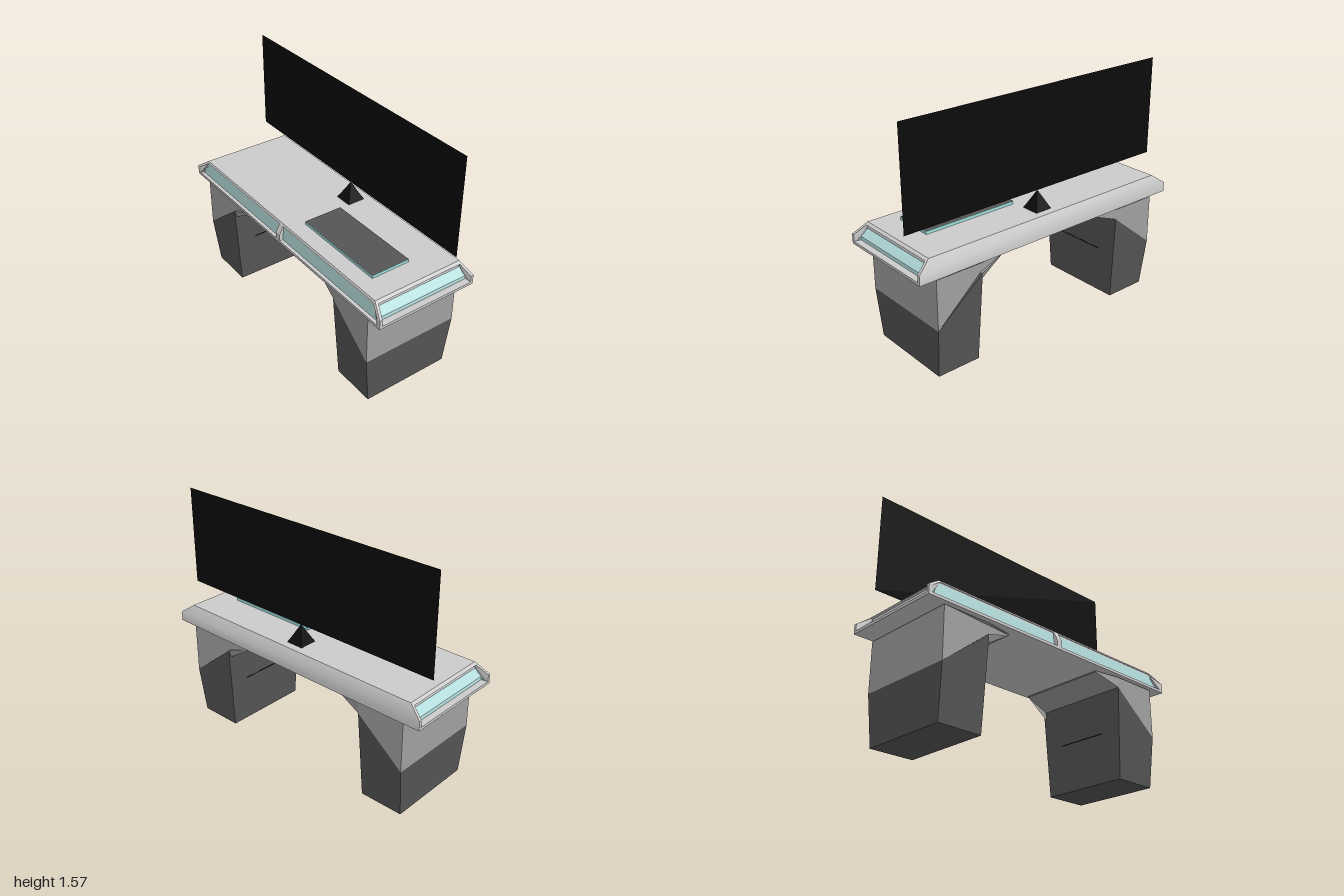
import * as THREE from 'three';
import { toCreasedNormals } from 'three/addons/utils/BufferGeometryUtils.js';

const mat = (color) => new THREE.MeshStandardMaterial({ color, side: THREE.DoubleSide });
const MATS = {
  body: mat(0xcccccc), glass: mat(0xb4dcdc), upper: mat(0xa0a0a0), lower: mat(0x555555),
  black: mat(0x0c0c0c), teal: mat(0x9fe0e0), pad: mat(0x555555),
};

// Mesh from a list of polygons (corners counter-clockwise seen from outside)
function polyMesh(name, polys, material, crease = 0.1) {
  const pos = [];
  for (const p of polys)
    for (let i = 1; i < p.length - 1; i++) pos.push(...p[0], ...p[i], ...p[i + 1]);
  let geo = new THREE.BufferGeometry();
  geo.setAttribute('position', new THREE.Float32BufferAttribute(pos, 3));
  geo = toCreasedNormals(geo, crease);
  const mesh = new THREE.Mesh(geo, material);
  mesh.name = name;
  return mesh;
}

// Solid from a counter-clockwise xy profile; depth(point) gives its half width in z
function prism(name, pts, material) {
  const front = pts.map(([x, y, d]) => [x, y, d]);
  const back = pts.map(([x, y, d]) => [x, y, -d]);
  const sides = pts.map((_, i) => {
    const j = (i + 1) % pts.length;
    return [front[i], back[i], back[j], front[j]];
  });
  return polyMesh(name, [front, [...back].reverse(), ...sides], material);
}

// Desk outline: bottom, bend and top, as half sizes in x and z
const Y0 = 0.672, Y1 = 0.735, Y2 = 0.8, SILL = 0.69, HEAD = 0.787;
const taper = (y) => Math.max(0, (y - Y1) / (Y2 - Y1));
const halfX = (y) => 1 - 0.09 * taper(y);
const halfZ = (y) => 0.345 - 0.035 * taper(y);

// One desk wall in local (along, y, out) space, with framed, glazed recesses.
// inner: [y, out] points of the recessed back; glassCount: segments that are glass
function deskWall(name, half, out, place, openings, inner, glassCount) {
  const group = new THREE.Group();
  group.name = name;
  const frame = [], glass = [];
  const quad = (list, a, b, c, d) => list.push([a, b, c, d].map((p) => place(...p)));
  const band = (ya, yb, l, r) => quad(frame, [l(ya), ya, out(ya)], [r(ya), ya, out(ya)],
    [r(yb), yb, out(yb)], [l(yb), yb, out(yb)]);
  const L = (y) => -half(y), R = half;
  const levels = [SILL, Y1, HEAD];
  band(Y0, SILL, L, R);
  band(HEAD, Y2, L, R);

  // posts between the openings
  const edges = [L, ...openings.flat(), R];
  for (let i = 0; i < edges.length; i += 2)
    for (let k = 0; k < 2; k++) band(levels[k], levels[k + 1], edges[i], edges[i + 1]);

  // recesses: cheeks, floor, roof and back
  for (const [l, r] of openings) {
    for (const e of [l, r]) {
      const rim = levels.map((y) => [e(y), y, out(y)]);
      const deep = inner.map(([y, o]) => [e(y), y, o]);
      const cheek = [...rim, ...deep.reverse()];
      // fan from the deep top corner, which sees the whole outline
      const turned = [...cheek.slice(3), ...cheek.slice(0, 3)];
      if (e === r) turned.splice(1, turned.length - 1, ...turned.slice(1).reverse());
      frame.push(turned.map((p) => place(...p)));
    }
    const low = inner[0][1], high = inner[inner.length - 1][1];
    quad(frame, [l(SILL), SILL, out(SILL)], [r(SILL), SILL, out(SILL)], [r(SILL), SILL, low], [l(SILL), SILL, low]);
    quad(frame, [l(HEAD), HEAD, high], [r(HEAD), HEAD, high], [r(HEAD), HEAD, out(HEAD)], [l(HEAD), HEAD, out(HEAD)]);
    for (let k = 0; k < inner.length - 1; k++) {
      const [ya, oa] = inner[k], [yb, ob] = inner[k + 1];
      quad(k < glassCount ? glass : frame, [l(ya), ya, oa], [r(ya), ya, oa], [r(yb), yb, ob], [l(yb), yb, ob]);
    }
  }
  group.add(polyMesh('frame', frame, MATS.body));
  group.add(polyMesh('glass', glass, MATS.glass));
  return group;
}

function createDesk() {
  const desk = new THREE.Group();
  desk.name = 'deskTop';
  const ring = (y) => [[-1, 1], [1, 1], [1, -1], [-1, -1]].map(([a, b]) => [a * halfX(y), y, b * halfZ(y)]);
  desk.add(polyMesh('topSurface', [ring(Y2)], MATS.body));
  desk.add(polyMesh('underside', [ring(Y0).reverse()], MATS.body));

  // plain rear wall with a softened bend
  const [r0, r1, r2] = [Y0, Y1, Y2].map(ring);
  desk.add(polyMesh('rearWall', [[r0[2], r0[3], r1[3], r1[2]], [r1[2], r1[3], r2[3], r2[2]]], MATS.body, 0.8));

  // front wall with two windows and a central post
  const post = 0.025, mid = 0.02;
  desk.add(deskWall('frontWall', halfX, halfZ, (s, y, o) => [s, y, o],
    [[(y) => post - halfX(y), () => -mid], [() => mid, (y) => halfX(y) - post]],
    [[SILL, 0.322], [0.777, 0.313], [HEAD, 0.311]], 1));

  // end walls with one sloping window each
  for (const side of [1, -1])
    desk.add(deskWall(side > 0 ? 'leftEnd' : 'rightEnd', halfZ, halfX,
      (s, y, o) => [side * o, y, -side * s],
      [[(y) => 0.018 - halfZ(y), (y) => halfZ(y) - 0.018]],
      [[SILL, 0.957], [0.712, 0.955], [0.755, 0.912], [HEAD, 0.908]], 2));
  return desk;
}

// Pedestal leg: dark tapering foot under a lighter bracket, split on a diagonal
function createLeg(name) {
  const leg = new THREE.Group();
  leg.name = name;
  leg.add(prism('foot', [[0.57, 0, 0.295], [0.865, 0, 0.295], [0.88, 0.33, 0.33], [0.555, 0.59, 0.33]], MATS.lower));
  leg.add(prism('bracket', [[0.555, 0.59, 0.33], [0.88, 0.33, 0.33], [0.88, 0.66, 0.33],
    [0.555, 0.66, 0.33], [0.375, 0.66, 0.3], [0.375, 0.652, 0.3]], MATS.upper));
  const slot = new THREE.Mesh(new THREE.BoxGeometry(0.006, 0.006, 0.35), MATS.black);
  slot.name = 'slot';
  slot.position.set(0.563, 0.32, 0);
  leg.add(slot);
  return leg;
}

export function createModel() {
  const model = new THREE.Group();
  model.name = 'desk';
  model.add(createDesk());

  const leftLeg = createLeg('leftLeg');
  const rightLeg = createLeg('rightLeg');
  rightLeg.rotation.y = Math.PI;
  model.add(leftLeg, rightLeg);

  // desk pad: coloured slab with a dark writing surface
  const slab = new THREE.Mesh(new THREE.BoxGeometry(0.655, 0.019, 0.264), MATS.teal);
  slab.name = 'padBase';
  slab.position.set(0.4225, 0.8095, 0.07);
  const surface = new THREE.Mesh(new THREE.PlaneGeometry(0.655, 0.264), MATS.pad);
  surface.name = 'padSurface';
  surface.rotation.x = -Math.PI / 2;
  surface.position.set(0.4225, 0.821, 0.07);
  model.add(slab, surface);

  // pyramid projector with the flat screen floating on its tip
  const projector = new THREE.Mesh(
    new THREE.ConeGeometry(0.06 * Math.SQRT2, 0.12, 4, 1).rotateY(Math.PI / 4).toNonIndexed(), MATS.black);
  projector.geometry.computeVertexNormals();
  projector.name = 'projector';
  projector.position.set(0.02, 0.86, -0.2);
  const screen = new THREE.Mesh(new THREE.PlaneGeometry(1.965, 0.652), MATS.black);
  screen.name = 'screen';
  screen.position.set(0.0075, 1.244, -0.2);
  model.add(projector, screen);
  return model;
}
